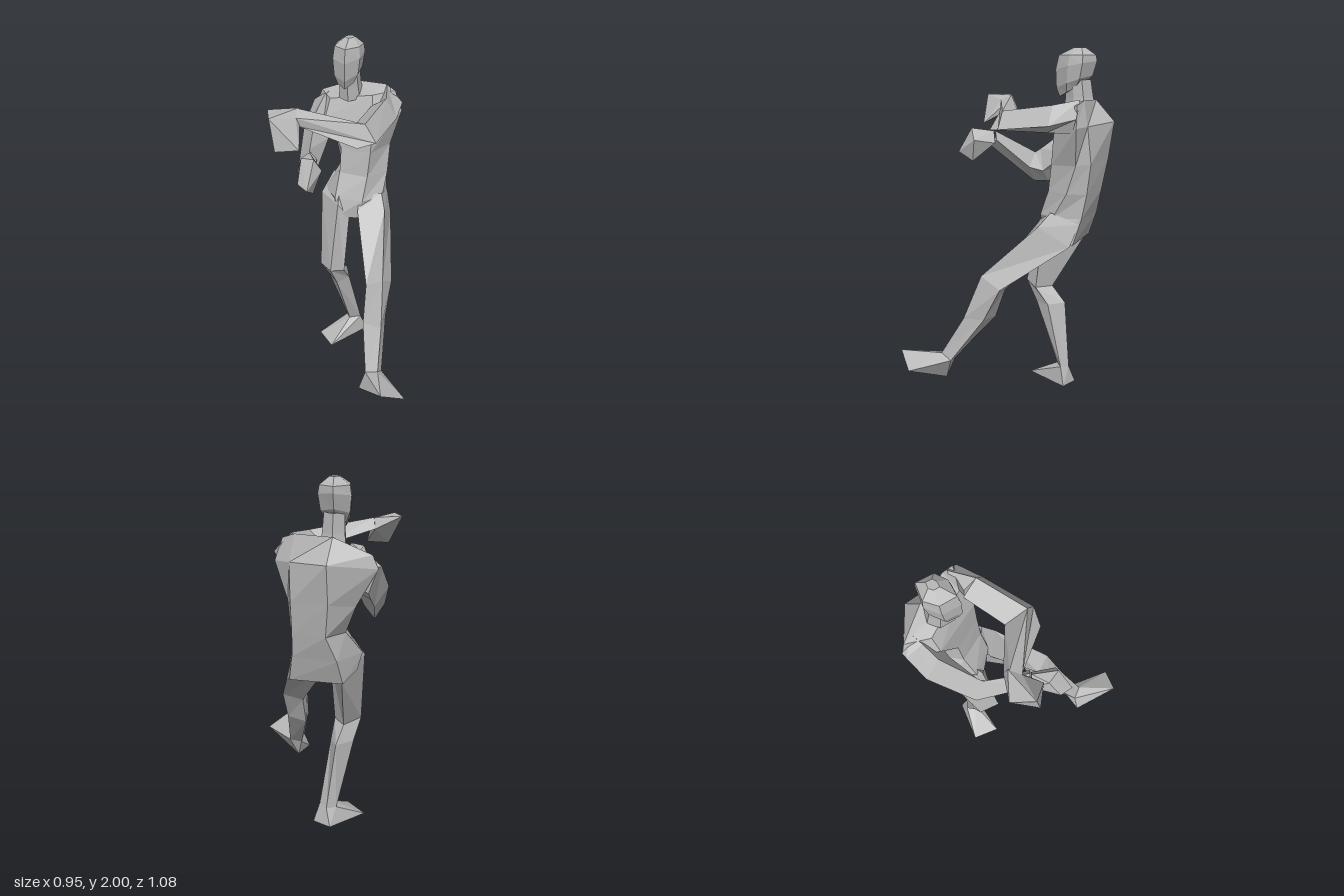
import * as THREE from 'three';
import { ConvexGeometry } from 'three/addons/geometries/ConvexGeometry.js';

const grey = new THREE.MeshStandardMaterial({ color: 0xb8b8b8, flatShading: true });
grey.name = 'plain grey';

// Skin over a list of rings (equal point counts), closed at both ends, faces turned outward
function loft(rings) {
  const n = rings[0].length;
  const tris = [];
  for (let r = 0; r < rings.length - 1; r++) {
    for (let i = 0; i < n; i++) {
      const j = (i + 1) % n;
      const a = rings[r][i], b = rings[r][j], c = rings[r + 1][j], d = rings[r + 1][i];
      tris.push([a, b, c], [a, c, d]);
    }
  }
  const first = rings[0], last = rings[rings.length - 1];
  for (let i = 1; i < n - 1; i++) {
    tris.push([first[0], first[i + 1], first[i]], [last[0], last[i], last[i + 1]]);
  }
  // signed volume decides the winding
  const v = (p) => new THREE.Vector3(...p);
  const centre = v(first[0]);
  let volume = 0;
  for (const [a, b, c] of tris) {
    volume += v(a).sub(centre).dot(v(b).sub(centre).cross(v(c).sub(centre)));
  }
  const flat = tris.flatMap(([a, b, c]) => (volume < 0 ? [a, c, b] : [a, b, c])).flat();
  const geo = new THREE.BufferGeometry();
  geo.setAttribute('position', new THREE.Float32BufferAttribute(flat, 3));
  geo.computeVertexNormals();
  return geo;
}

const hull = (points) => new ConvexGeometry(points.map((p) => new THREE.Vector3(...p)));

export function createModel() {
  const group = new THREE.Group();
  group.name = 'figure';
  const add = (name, geo) => {
    const mesh = new THREE.Mesh(geo, grey);
    mesh.name = name;
    group.add(mesh);
  };

  // Torso, pelvis to shoulders: front left, left, back left, back right, right, front right
  add('torso', loft([
    [[-0.09, 0.94, -0.16], [0.06, 0.97, -0.26], [0.03, 0.91, -0.39], [-0.27, 0.92, -0.39], [-0.32, 0.97, -0.28], [-0.2, 0.95, -0.12]],
    [[-0.05, 1.06, -0.165], [0.035, 1.06, -0.27], [0, 1.06, -0.43], [-0.25, 1.06, -0.44], [-0.34, 1.06, -0.25], [-0.22, 1.06, -0.145]],
    [[-0.04, 1.2, -0.215], [0.035, 1.2, -0.35], [-0.01, 1.2, -0.455], [-0.2, 1.2, -0.48], [-0.275, 1.2, -0.36], [-0.22, 1.2, -0.215]],
    [[-0.03, 1.35, -0.235], [0.03, 1.36, -0.4], [-0.01, 1.37, -0.475], [-0.22, 1.38, -0.51], [-0.34, 1.36, -0.41], [-0.22, 1.35, -0.24]],
    [[-0.02, 1.52, -0.25], [0.09, 1.57, -0.42], [0, 1.575, -0.455], [-0.22, 1.59, -0.54], [-0.45, 1.56, -0.41], [-0.33, 1.52, -0.26]],
    [[-0.05, 1.68, -0.31], [0.05, 1.69, -0.41], [-0.02, 1.715, -0.425], [-0.22, 1.71, -0.43], [-0.42, 1.63, -0.41], [-0.32, 1.62, -0.31]],
  ]));

  // Head and neck share one six-sided outline, scaled and shifted by height
  const outline = [[-0.29, -0.34], [-0.22, -0.43], [-0.125, -0.375], [-0.12, -0.29], [-0.175, -0.2], [-0.27, -0.25]];
  const ring = (y, scale, shift, tilt = 0) => outline.map(([x, z]) => [
    -0.2 + (x + 0.2) * scale,
    y - tilt * (z + 0.32),
    -0.32 + (z + 0.32) * scale + shift,
  ]);
  add('neck', loft([ring(1.64, 0.8, -0.03), ring(1.72, 0.68, -0.02), ring(1.82, 0.62, -0.01)]));
  add('head', loft([
    ring(1.76, 0.6, 0.025, 0.3),
    ring(1.81, 0.88, 0.01, 0.3),
    ring(1.9, 1, 0, 0.2),
    ring(1.955, 0.9, -0.005, 0),
    ring(1.995, 0.3, -0.015, 0),
  ]));

  // Left arm, reaching forward and folded across the chest: top, outer, bottom, inner
  add('leftArm', loft([
    [[0.0, 1.72, -0.41], [0.093, 1.62, -0.42], [0.07, 1.54, -0.39], [-0.05, 1.58, -0.33]],
    [[0.05, 1.69, -0.27], [0.115, 1.58, -0.27], [0.06, 1.54, -0.24], [-0.05, 1.62, -0.29]],
    [[0.05, 1.65, 0.03], [0.115, 1.55, 0.03], [0.04, 1.54, 0.115], [-0.06, 1.58, -0.04]],
    [[-0.3, 1.72, 0.13], [-0.28, 1.69, 0.19], [-0.27, 1.64, 0.18], [-0.31, 1.66, 0.1]],
  ]));
  add('leftHand', hull([
    [-0.44, 1.72, 0.21], [-0.37, 1.72, 0.32], [-0.3, 1.72, 0.12], [-0.31, 1.66, 0.1],
    [-0.28, 1.69, 0.19], [-0.26, 1.64, 0.19], [-0.22, 1.55, 0.28], [-0.34, 1.54, 0.33],
  ]));

  // Right arm, hanging from the shoulder with the forearm raised: outer, bottom, inner, top
  add('rightArm', loft([
    [[-0.45, 1.57, -0.41], [-0.4, 1.43, -0.4], [-0.28, 1.45, -0.34], [-0.36, 1.64, -0.4]],
    [[-0.46, 1.57, -0.38], [-0.4, 1.38, -0.34], [-0.28, 1.43, -0.3], [-0.37, 1.62, -0.33]],
    [[-0.475, 1.44, -0.265], [-0.4, 1.32, -0.26], [-0.3, 1.4, -0.24], [-0.38, 1.55, -0.24]],
    [[-0.415, 1.29, -0.07], [-0.365, 1.2, -0.09], [-0.3, 1.27, -0.08], [-0.33, 1.4, -0.05]],
    [[-0.4, 1.26, -0.02], [-0.35, 1.2, 0.0], [-0.28, 1.29, 0.0], [-0.32, 1.38, -0.02]],
    [[-0.25, 1.46, 0.22], [-0.2, 1.42, 0.22], [-0.17, 1.46, 0.17], [-0.2, 1.51, 0.19]],
  ]));
  add('rightHand', hull([
    [-0.25, 1.46, 0.22], [-0.2, 1.51, 0.2], [-0.17, 1.44, 0.18], [-0.12, 1.53, 0.31],
    [-0.2, 1.52, 0.3], [-0.09, 1.46, 0.28], [-0.13, 1.33, 0.31], [-0.12, 1.385, 0.4], [-0.19, 1.4, 0.37],
  ]));

  // Left leg, stretched forward: outer front, inner front, inner back, outer back
  const leftAnkle = [[0.265, 0.24, 0.33], [0.19, 0.22, 0.34], [0.19, 0.19, 0.28], [0.265, 0.2, 0.27]];
  add('leftLeg', loft([
    [[0.035, 1.09, -0.26], [-0.08, 1.08, -0.19], [-0.1, 1.0, -0.3], [0.01, 1.03, -0.42]],
    [[0.08, 1.01, -0.2], [-0.07, 1.0, -0.14], [-0.12, 0.92, -0.25], [0.05, 0.905, -0.38]],
    [[0.195, 0.72, 0.1], [0.09, 0.66, 0.1], [0.085, 0.62, 0.0], [0.205, 0.65, -0.02]],
    [[0.23, 0.46, 0.2], [0.11, 0.45, 0.19], [0.085, 0.45, 0.06], [0.21, 0.46, 0.08]],
    leftAnkle,
  ]));
  add('leftFoot', hull([
    ...leftAnkle, [0.165, 0.12, 0.38], [0.225, 0.075, 0.32], [0.37, 0.265, 0.54], [0.475, 0.19, 0.43],
  ]));

  // Right leg, standing: outer, front, inner, back
  const rightAnkle = [[-0.21, 0.1, -0.28], [-0.17, 0.11, -0.235], [-0.11, 0.11, -0.28], [-0.16, 0.1, -0.315]];
  add('rightLeg', loft([
    [[-0.3, 1.16, -0.31], [-0.21, 1.14, -0.2], [-0.15, 1.06, -0.22], [-0.23, 1.06, -0.42]],
    [[-0.345, 1.04, -0.22], [-0.19, 1.03, -0.12], [-0.13, 0.94, -0.15], [-0.26, 0.92, -0.375]],
    [[-0.3, 0.6, -0.09], [-0.2, 0.61, -0.02], [-0.145, 0.58, -0.1], [-0.22, 0.58, -0.18]],
    [[-0.275, 0.48, -0.16], [-0.19, 0.48, -0.09], [-0.145, 0.48, -0.18], [-0.2, 0.49, -0.27]],
    rightAnkle,
  ]));
  add('rightFoot', hull([
    ...rightAnkle, [-0.08, 0, -0.31], [-0.19, 0, -0.345], [-0.345, 0, -0.14], [-0.215, 0, -0.04],
  ]));

  return group;
}
